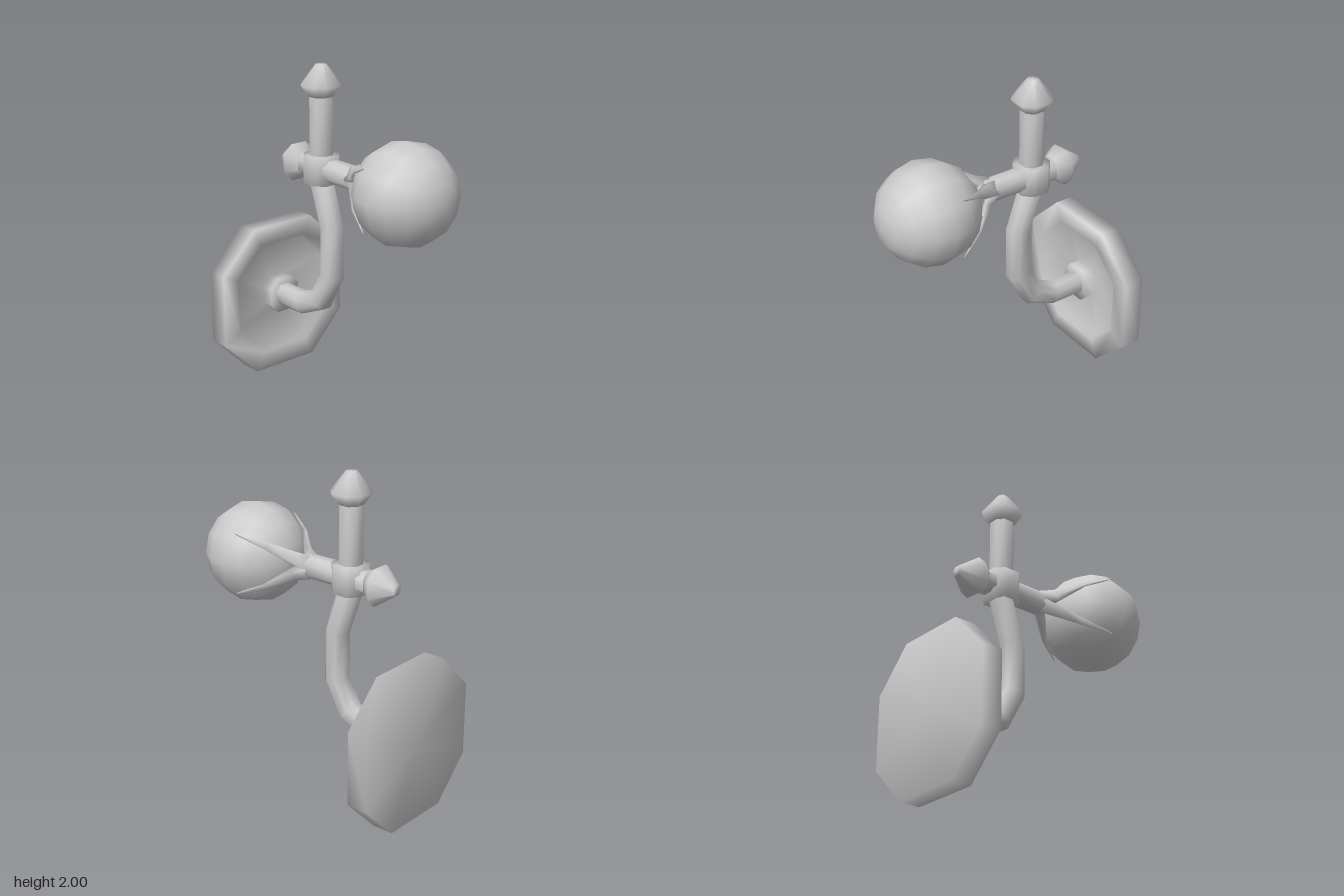
import * as THREE from 'three';

const V = (x, y, z) => new THREE.Vector3(x, y, z);
const material = new THREE.MeshStandardMaterial({ color: 0xcccccc });
const C = 0.48; // half-length of an octagon side, relative to its half-width
const OCTAGON = [[1, -C], [1, C], [C, 1], [-C, 1], [-1, C], [-1, -C], [-C, -1], [C, -1]];
const SQUARE = [[1, -1], [1, 1], [-1, 1], [-1, -1]];
const ARM_Y = 1.375, POST_Z = -0.26;

// Skins an outline through sections { c: centre, t: direction, a, b: half sizes } and caps both ends
function loft(name, outline, u, sections) {
  const n = outline.length, pos = [], index = [];
  for (const { c, t, a, b } of sections) {
    const v = t.clone().cross(u).normalize();
    for (const [p, q] of outline) {
      pos.push(...c.clone().addScaledVector(u, p * a).addScaledVector(v, q * b).toArray());
    }
  }
  const last = (sections.length - 1) * n, start = sections.length * n, end = start + 1;
  pos.push(...sections[0].c.toArray(), ...sections[sections.length - 1].c.toArray());
  for (let i = 0; i < n; i++) {
    const j = (i + 1) % n;
    for (let r = 0; r < last; r += n) {
      index.push(r + i, r + j, r + n + j, r + i, r + n + j, r + n + i);
    }
    index.push(start, j, i, end, last + i, last + j);
  }
  const geometry = new THREE.BufferGeometry();
  geometry.setAttribute('position', new THREE.Float32BufferAttribute(pos, 3));
  geometry.setIndex(index);
  geometry.computeVertexNormals();
  const mesh = new THREE.Mesh(geometry, material);
  mesh.name = name;
  return mesh;
}

// Straight octagonal part from a profile of [half width, distance along dir]
function straight(name, origin, dir, profile) {
  return loft(name, OCTAGON, V(1, 0, 0), profile.map(([half, d]) => (
    { c: origin.clone().addScaledVector(dir, d), t: dir, a: half, b: half })));
}

// Octagonal pipe with mitred bends in the YZ plane
function pipe(name, half, points) {
  const pts = points.map(([y, z]) => V(0, y, z));
  return loft(name, OCTAGON, V(1, 0, 0), pts.map((c, i) => {
    const before = c.clone().sub(pts[i - 1] ?? c).normalize();
    const after = (pts[i + 1] ?? c).clone().sub(c).normalize();
    const t = before.clone().add(after).normalize();
    return { c, t, a: half, b: half / t.dot(i ? before : after) };
  }));
}

export function createModel() {
  const group = new THREE.Group();
  const up = V(0, 1, 0), front = V(0, 0, 1), back = V(0, 0, -1);
  const joint = V(0, ARM_Y, POST_Z);

  // Wall plate with raised rim, dished face and central boss
  group.add(straight('wallPlate', V(0, 0.47, 0), front, [
    [0.47, -0.76], [0.47, -0.63], [0.355, -0.63], [0.345, -0.68],
    [0.11, -0.7], [0.11, -0.625],
  ]));

  // Bent stem from the plate up to the joint
  group.add(pipe('stem', 0.065, [
    [0.47, -0.68], [0.47, -0.435], [0.54, -0.27], [0.725, -0.17],
    [1.03, -0.17], [1.3, POST_Z],
  ]));

  // Collar, upright post and horizontal arm
  group.add(straight('collar', joint, up, [[0.1, -0.085], [0.1, 0.085]]));
  group.add(straight('post', joint, up, [[0.065, 0], [0.065, 0.44]]));
  group.add(straight('arm', joint, front, [[0.065, -0.14], [0.065, 0.32], [0.035, 0.36]]));

  // Pointed finials on the post and behind the arm
  const finial = [[0.065, 0], [0.112, 0.07], [0.03, 0.19]];
  group.add(straight('topFinial', V(0, 1.81, POST_Z), up, finial));
  group.add(straight('rearFinial', V(0, ARM_Y, -0.4), back, finial));

  // Four tapering prongs gripping the globe
  const path = [[0.035, 0.04, 0.045, 0.035], [0.085, 0.105, 0.036, 0.02],
    [0.215, 0.225, 0.02, 0.01], [0.318, 0.385, 0.003, 0.003]];
  for (const sx of [1, -1]) for (const sy of [1, -1]) {
    const out = V(sx * 0.815, sy * 0.58, 0).normalize();
    const side = front.clone().cross(out);
    const at = ([r, z]) => V(0, ARM_Y, z).addScaledVector(out, r);
    group.add(loft('prong', SQUARE, side, path.map((p, i) => ({
      c: at(p),
      t: at(path[Math.min(i + 1, 3)]).sub(at(path[Math.max(i - 1, 0)])).normalize(),
      a: p[2], b: p[3],
    }))));
  }

  // Globe
  const globe = new THREE.Mesh(new THREE.SphereGeometry(0.307, 12, 8).rotateX(Math.PI / 2), material);
  globe.position.set(0, ARM_Y, 0.453);
  globe.name = 'globe';
  group.add(globe);

  return group;
}
